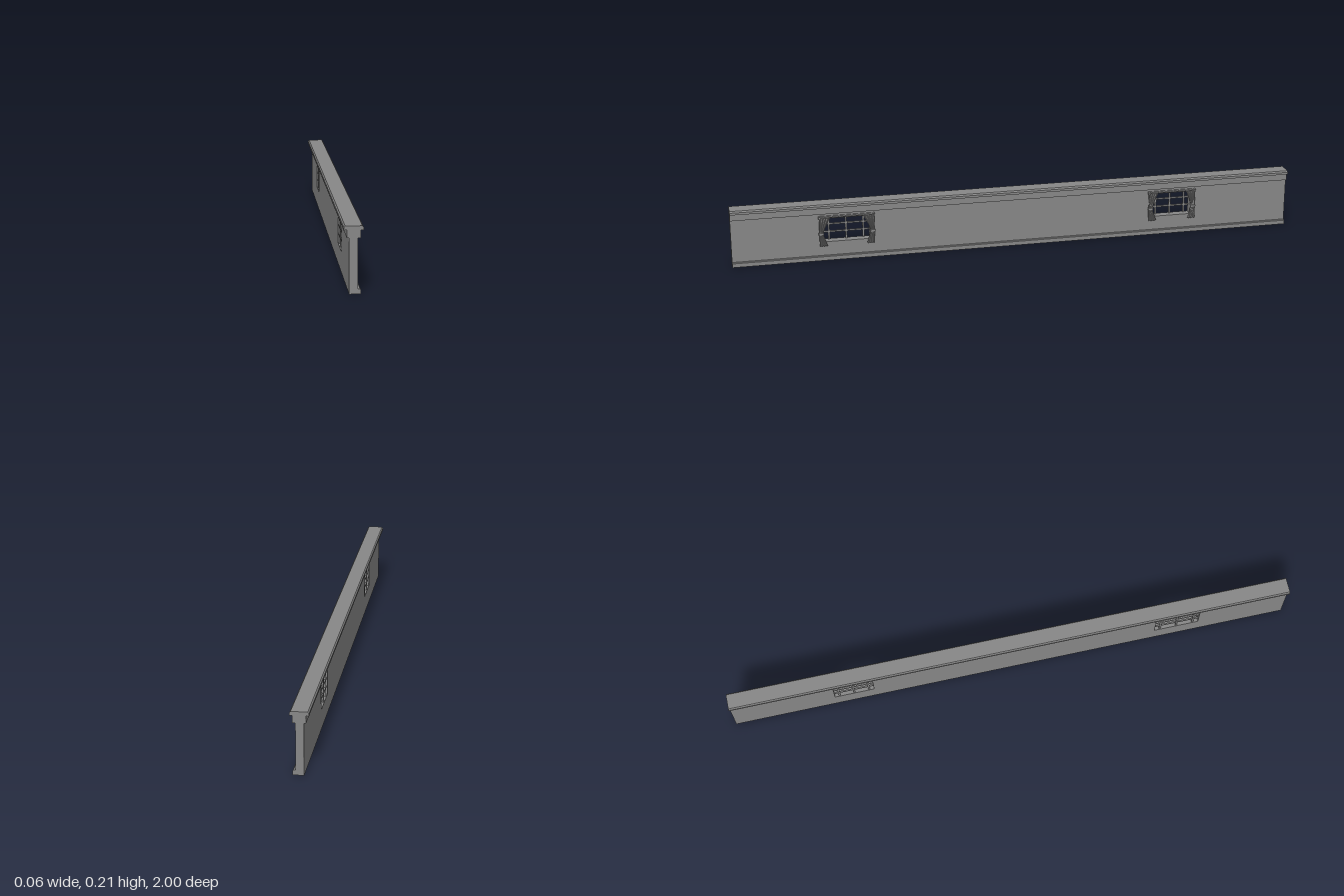
import * as THREE from 'three';

const GREY = 0x878787;
const stone = new THREE.MeshStandardMaterial({ color: GREY, flatShading: true });
const cloth = new THREE.MeshStandardMaterial({ color: GREY, side: THREE.DoubleSide });

const WALL = { x0: -0.014, x1: 0.012, top: 0.172 };
const windows = [
  { name: 'frontWindow', z: 0.602, half: 0.08, bars: 0.06 },
  { name: 'rearWindow', z: -0.568, half: 0.07, bars: 0.053 },
];
const OPEN = { y0: 0.067, y1: 0.152 };
const BAR_X = -0.009;

function add(parent, name, geometry, material = stone) {
  const mesh = new THREE.Mesh(geometry, material);
  mesh.name = name;
  parent.add(mesh);
  return mesh;
}

function box(parent, name, x0, x1, y0, y1, z0, z1) {
  const mesh = add(parent, name, new THREE.BoxGeometry(x1 - x0, y1 - y0, z1 - z0));
  mesh.position.set((x0 + x1) / 2, (y0 + y1) / 2, (z0 + z1) / 2);
}

// Rectangle outline in the wall plane, where the first axis is -z
function rect(Type, z, half, y0, y1) {
  const p = [[-z - half, y0], [-z + half, y0], [-z + half, y1], [-z - half, y1]];
  return new Type(p.map(([a, b]) => new THREE.Vector2(a, b)));
}

// Flat panel with rectangular holes, thick along x
function panel(parent, name, shape, holes, x0, x1) {
  shape.holes.push(...holes);
  const g = new THREE.ExtrudeGeometry(shape, { depth: x1 - x0, bevelEnabled: false });
  g.rotateY(Math.PI / 2).translate(x0, 0, 0);
  add(parent, name, g);
}

// Moulding with a cross-section in x and y, running the full length
function moulding(parent, name, points) {
  const shape = new THREE.Shape(points.map(([x, y]) => new THREE.Vector2(x, y)));
  const g = new THREE.ExtrudeGeometry(shape, { depth: 2, bevelEnabled: false });
  add(parent, name, g.translate(0, 0, -1));
}

// Pleated curtain swept from the rod to a tie at the outer edge, then flaring
function curtain(parent, zOuter, side, width) {
  const g = new THREE.PlaneGeometry(1, 1, 24, 16);
  const pos = g.attributes.position;
  for (let i = 0; i < pos.count; i++) {
    const u = pos.getX(i) + 0.5;
    const y = 0.054 + (pos.getY(i) + 0.5) * 0.102;
    const above = y > 0.096;
    const t = above ? (y - 0.096) / 0.06 : (0.096 - y) / 0.042;
    const w = above ? 0.014 + (width - 0.014) * Math.pow(t, 1.4) : 0.014 + 0.014 * t;
    const bow = above ? 0.0015 * Math.sin(t * Math.PI) : 0.0045 * t;
    const x = 0.0195 + bow + 0.002 * Math.sin(u * Math.PI * 8);
    pos.setXYZ(i, x, y, zOuter - side * u * w);
  }
  g.computeVertexNormals();
  add(parent, 'curtain', g, cloth);
  const zTie = zOuter - side * 0.007;
  box(parent, 'curtainTie', 0.0165, 0.023, 0.093, 0.101, zTie - 0.009, zTie + 0.009);
  box(parent, 'tieHook', WALL.x1, 0.0165, 0.095, 0.099, zTie - 0.002, zTie + 0.002);
}

function makeWindow({ name, z, half, bars }) {
  const group = new THREE.Group();
  group.name = name;
  const outer = half + 0.015;

  // Raised casing on the inner face
  panel(group, 'casing', rect(THREE.Shape, z, outer, 0.052, 0.161),
    [rect(THREE.Path, z, half, OPEN.y0, OPEN.y1)], WALL.x1, 0.0155);

  // Glazing bars, set towards the outer face
  for (const dz of [-bars, 0, bars]) {
    box(group, 'verticalBar', BAR_X - 0.003, BAR_X + 0.003, OPEN.y0, OPEN.y1, z + dz - 0.003, z + dz + 0.003);
  }
  for (const k of [1, 2]) {
    const y = OPEN.y0 + (OPEN.y1 - OPEN.y0) * k / 3;
    box(group, 'horizontalBar', BAR_X - 0.0025, BAR_X + 0.0025, y - 0.0025, y + 0.0025, z - half, z + half);
  }

  // Curtain rod with end brackets
  const rod = add(group, 'curtainRod', new THREE.CylinderGeometry(0.0022, 0.0022, outer * 2 + 0.006, 8));
  rod.rotation.x = Math.PI / 2;
  rod.position.set(0.021, 0.157, z);
  for (const side of [-1, 1]) {
    const zb = z + side * outer;
    box(group, 'rodBracket', WALL.x1, 0.026, 0.153, 0.161, zb - 0.003, zb + 0.003);
    curtain(group, z + side * (outer + 0.001), side, half * 0.5);
  }
  return group;
}

export function createModel() {
  const model = new THREE.Group();
  model.name = 'wallWithWindows';

  // Main wall with openings
  panel(model, 'wall', rect(THREE.Shape, 0, 1, 0, WALL.top),
    windows.map((w) => rect(THREE.Path, w.z, w.half, OPEN.y0, OPEN.y1)), WALL.x0, WALL.x1);

  // Skirting, cornice and bevelled cap
  moulding(model, 'skirting', [[0.012, 0], [0.021, 0], [0.021, 0.014], [0.019, 0.016], [0.012, 0.016]]);
  moulding(model, 'cornice', [[-0.021, 0.17], [0.021, 0.17], [0.021, 0.195], [-0.021, 0.195]]);
  moulding(model, 'cap', [[-0.03, 0.194], [0.03, 0.194], [0.03, 0.202], [0.026, 0.207], [-0.026, 0.207], [-0.03, 0.202]]);

  for (const w of windows) model.add(makeWindow(w));
  return model;
}
